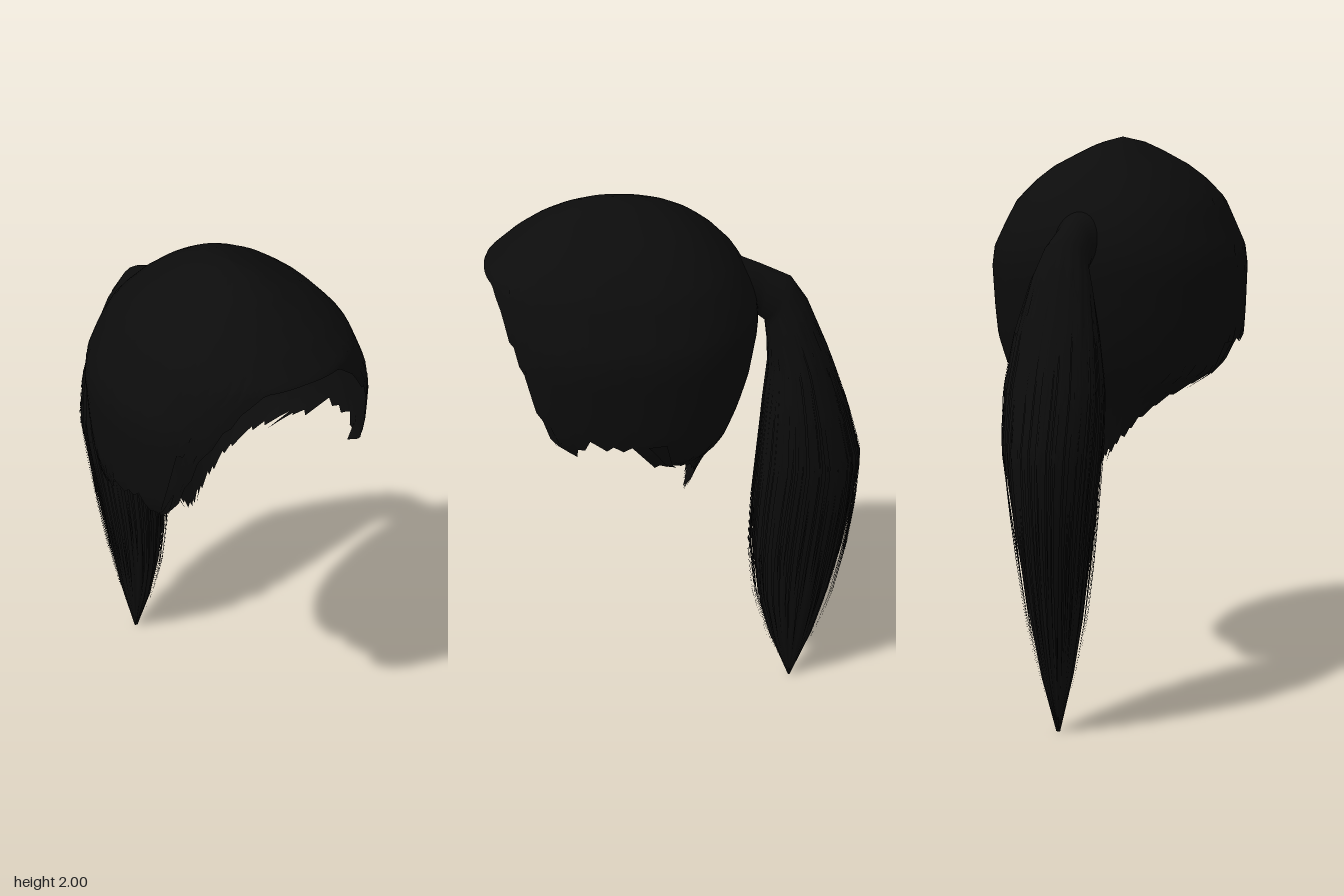
import * as THREE from 'three';

// Piecewise linear lookup: rows of [key, a, b, ...] in ascending key order
function lookup(rows, k) {
  if (k <= rows[0][0]) return rows[0].slice(1);
  for (let i = 1; i < rows.length; i++) {
    const p = rows[i - 1], q = rows[i];
    if (k <= q[0]) {
      const t = (k - p[0]) / (q[0] - p[0]);
      return p.slice(1).map((v, j) => v + (q[j + 1] - v) * t);
    }
  }
  return rows[rows.length - 1].slice(1);
}

// Grid surface from a point function f(u index, v index)
function gridSurface(nu, nv, f) {
  const pos = [], idx = [];
  for (let j = 0; j <= nv; j++)
    for (let i = 0; i <= nu; i++) pos.push(...f(i, j));
  for (let j = 0; j < nv; j++)
    for (let i = 0; i < nu; i++) {
      const a = j * (nu + 1) + i, b = a + nu + 1;
      idx.push(a, b, a + 1, a + 1, b, b + 1);
    }
  const g = new THREE.BufferGeometry();
  g.setAttribute('position', new THREE.Float32BufferAttribute(pos, 3));
  g.setIndex(idx);
  g.computeVertexNormals();
  return g;
}

// Cap sections: height, half width, centre z, back z, front z
const SECTIONS = [
  [0.86, 0.08, 0.02, -0.01, 0.1], [0.95, 0.15, 0.04, -0.04, 0.2],
  [1.05, 0.21, 0.08, -0.08, 0.3], [1.13, 0.3, 0.12, -0.12, 0.4],
  [1.2, 0.4, 0.17, -0.165, 0.58], [1.3, 0.435, 0.2, -0.205, 0.65],
  [1.4, 0.44, 0.2, -0.235, 0.66], [1.55, 0.445, 0.2, -0.26, 0.66],
  [1.62, 0.435, 0.2, -0.26, 0.66], [1.7, 0.395, 0.2, -0.24, 0.66],
  [1.78, 0.355, 0.2, -0.195, 0.65], [1.85, 0.29, 0.21, -0.13, 0.57],
  [1.9, 0.225, 0.21, -0.07, 0.5], [1.95, 0.13, 0.22, 0.01, 0.42],
  [1.98, 0.07, 0.22, 0.09, 0.34], [2, 0, 0.22, 0.22, 0.22],
];
// Hem height by angle from the front, in degrees
const HEM = [
  [0, 1.775], [20, 1.77], [30, 1.71], [40, 1.6], [50, 1.44], [60, 1.28],
  [66, 1.27], [76, 1.32], [90, 1.29], [95, 1.22], [106, 1.18], [120, 1.11],
  [140, 1.0], [160, 0.92], [180, 0.87],
];

function capPoint(deg, y) {
  const [w, c, back, front] = lookup(SECTIONS, y);
  const a = THREE.MathUtils.degToRad(deg);
  const round = (v) => Math.sign(v) * Math.abs(v) ** 0.89;
  const s = round(Math.sin(a)), k = round(Math.cos(a));
  return [w * s, y, c + k * (k > 0 ? front - c : c - back)];
}

// Tail rings: inner edge z, y; outer edge z, y; half width
const RINGS = [
  [0, -0.16, 1.54, -0.16, 1.78, 0.11], [1, -0.26, 1.555, -0.27, 1.735, 0.07],
  [2, -0.29, 1.53, -0.38, 1.68, 0.08], [3, -0.3, 1.45, -0.44, 1.59, 0.11],
  [4, -0.305, 1.36, -0.52, 1.4, 0.145], [5, -0.29, 1.2, -0.59, 1.2, 0.17],
  [6, -0.275, 1, -0.645, 1, 0.165], [7, -0.26, 0.8, -0.635, 0.8, 0.14],
  [8, -0.255, 0.6, -0.61, 0.6, 0.115], [9, -0.275, 0.4, -0.57, 0.4, 0.09],
  [10, -0.33, 0.2, -0.51, 0.2, 0.055], [11, -0.415, 0, -0.425, 0, 0.008],
];

function tailPoint(t, a, scale) {
  const [zi, yi, zo, yo, w] = lookup(RINGS, t);
  const k = Math.cos(a) * scale * 0.5;
  return [
    w * Math.sin(a) * scale,
    (yi + yo) / 2 + (yo - yi) * k,
    (zi + zo) / 2 + (zo - zi) * k,
  ];
}

export function createModel() {
  const model = new THREE.Group();
  const black = new THREE.MeshStandardMaterial({ color: 0x0c0c0c, side: THREE.DoubleSide });
  black.name = 'black hair';
  const add = (name, geometry, parent = model) => {
    const m = new THREE.Mesh(geometry, black);
    m.name = name;
    parent.add(m);
  };
  let seed = 7;
  const rnd = () => (seed = (seed * 16807) % 2147483647) / 2147483647;

  // Hair cap, open at the face, with a jagged hem
  const cols = 120, rows = 30;
  add('cap', gridSurface(cols, rows, (i, j) => {
    const deg = (i / cols) * 360;
    const side = Math.min(deg, 360 - deg);
    const jag = side > 32 ? ((i * 2) % 5) * 0.008 - 0.012 : 0;
    const hem = lookup(HEM, side)[0] - jag;
    return capPoint(deg, 2 - (2 - hem) * (j / rows) ** 1.5);
  }));

  // Pointed locks hanging at the temples and the nape
  const locks = new THREE.Group();
  locks.name = 'hemLocks';
  model.add(locks);
  const lockSpecs = [[43, 1.68, 59, 1.29], [50, 1.55, 64, 1.26], [100, 1.3, 107, 1.13], [150, 1.05, 166, 0.87]];
  for (const side of [1, -1])
    for (const [d0, y0, d1, y1] of lockSpecs)
      add('lock', gridSurface(2, 6, (i, j) => {
        const t = j / 6;
        const deg = d0 + (d1 - d0) * t + (i - 1) * 4 * (1 - t);
        const p = capPoint(deg, y0 + (y1 - y0) * t);
        return [p[0] * side * 1.01, p[1], p[2]];
      }), locks);

  // Ponytail body with fine ridges
  const around = 72, along = 55;
  add('ponytail', gridSurface(around, along, (i, j) => {
    const t = (j / along) * 11;
    const a = (i / around) * Math.PI * 2;
    const depth = THREE.MathUtils.clamp((t - 1.5) / 4, 0, 1);
    const taper = 1 - 0.1 * THREE.MathUtils.clamp((t - 6) / 3, 0, 1);
    return tailPoint(t, a, taper * (1 - depth * 0.045 * (1 + Math.cos(a * 18))));
  }));

  // Loose strands lying over the ponytail, ending at different heights
  const strands = new THREE.Group();
  strands.name = 'looseStrands';
  model.add(strands);
  for (let n = 0; n < 80; n++) {
    const a = (n / 80) * Math.PI * 2 + rnd() * 0.06;
    const start = 2 + rnd() * 2, end = 8.4 + rnd() * 2.2;
    const flare = 0.98 + rnd() * 0.1, width = 0.025 + rnd() * 0.04;
    add('strand', gridSurface(1, 18, (i, j) => {
      const t = j / 18;
      const scale = 0.98 + (flare - 0.98) * t;
      return tailPoint(start + (end - start) * t, a + (i - 0.5) * 2 * width * (1 - t ** 3), scale);
    }), strands);
  }
  return model;
}
